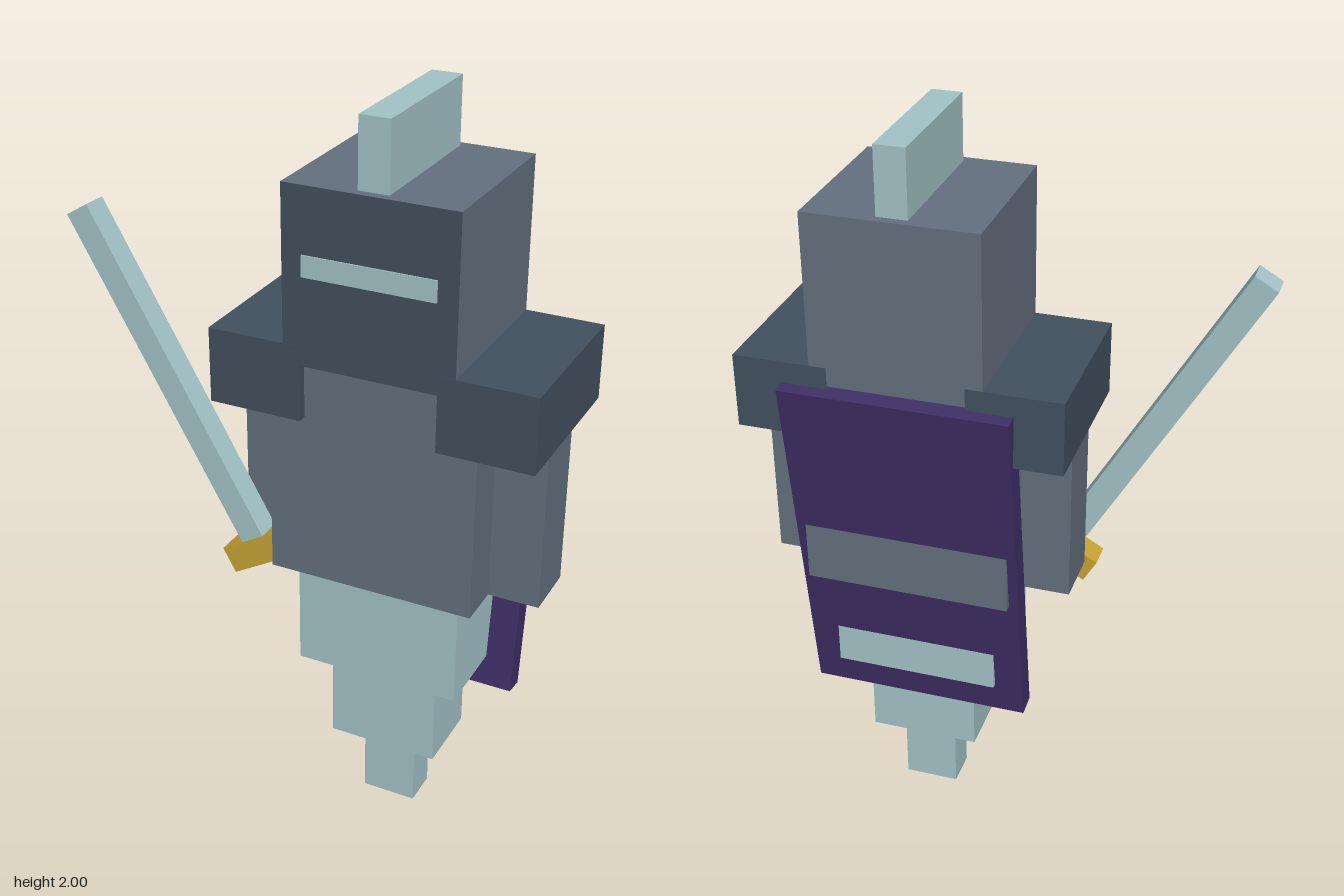
import * as THREE from 'three';

const mat = (name, color) => {
  const m = new THREE.MeshStandardMaterial({ color });
  m.name = name;
  return m;
};

export function createModel() {
  const model = new THREE.Group();
  model.name = 'floatingKnight';
  const steel = mat('steel grey', 0x63707e);
  const dark = mat('dark steel', 0x42505e);
  const pale = mat('pale teal', 0xa3c3c8);
  const purple = mat('cape purple', 0x3f2f66);
  const gold = mat('gold', 0xc8a434);

  const box = (parent, name, material, size, pos) => {
    const mesh = new THREE.Mesh(new THREE.BoxGeometry(...size), material);
    mesh.name = name;
    mesh.position.set(...pos);
    parent.add(mesh);
    return mesh;
  };

  // Body, centred on its own axis; the sword reaches out to the right
  const body = new THREE.Group();
  body.name = 'body';
  body.position.set(0.215, 0, 0.02);
  model.add(body);

  // Helmet with a dark face, eye slit and crest
  box(body, 'helmet', [steel, steel, steel, steel, dark, steel], [0.45, 0.455, 0.45], [0, 1.597, 0]);
  box(body, 'eyeSlit', pale, [0.345, 0.055, 0.008], [0, 1.628, 0.225]);
  box(body, 'crest', pale, [0.08, 0.18, 0.402], [0, 1.91, 0]);

  // Torso, arms and shoulder guards
  box(body, 'torso', steel, [0.555, 0.605, 0.402], [0, 1.0675, 0]);
  for (const [side, s] of [['left', 1], ['right', -1]]) {
    box(body, side + 'Shoulder', dark, [0.25, 0.2, 0.452], [s * 0.305, 1.32, 0]);
    box(body, side + 'Arm', steel, [0.15, 0.5, 0.16], [s * 0.338, 1.015, 0]);
  }

  // Tapering tail in three steps
  box(body, 'upperTail', pale, [0.45, 0.305, 0.302], [0, 0.6125, 0]);
  box(body, 'middleTail', pale, [0.302, 0.255, 0.202], [0, 0.3325, 0]);
  box(body, 'tailTip', pale, [0.15, 0.205, 0.1], [0, 0.1025, 0]);

  // Cape, leaning in toward the body at the bottom
  const cape = box(body, 'cape', purple, [0.605, 1.0, 0.06], [0, 0.866, -0.162]);
  cape.rotation.x = -THREE.MathUtils.degToRad(8);

  // Sword, tilted outward in front of the right arm
  const sword = new THREE.Group();
  sword.name = 'sword';
  sword.position.set(-0.12, 0.773, 0.157);
  sword.rotation.z = Math.PI / 6;
  box(sword, 'blade', pale, [0.07, 1.0, 0.07], [0, 0.5, 0]);
  box(sword, 'guard', gold, [0.205, 0.074, 0.074], [0, 0, 0]);
  model.add(sword);

  return model;
}
